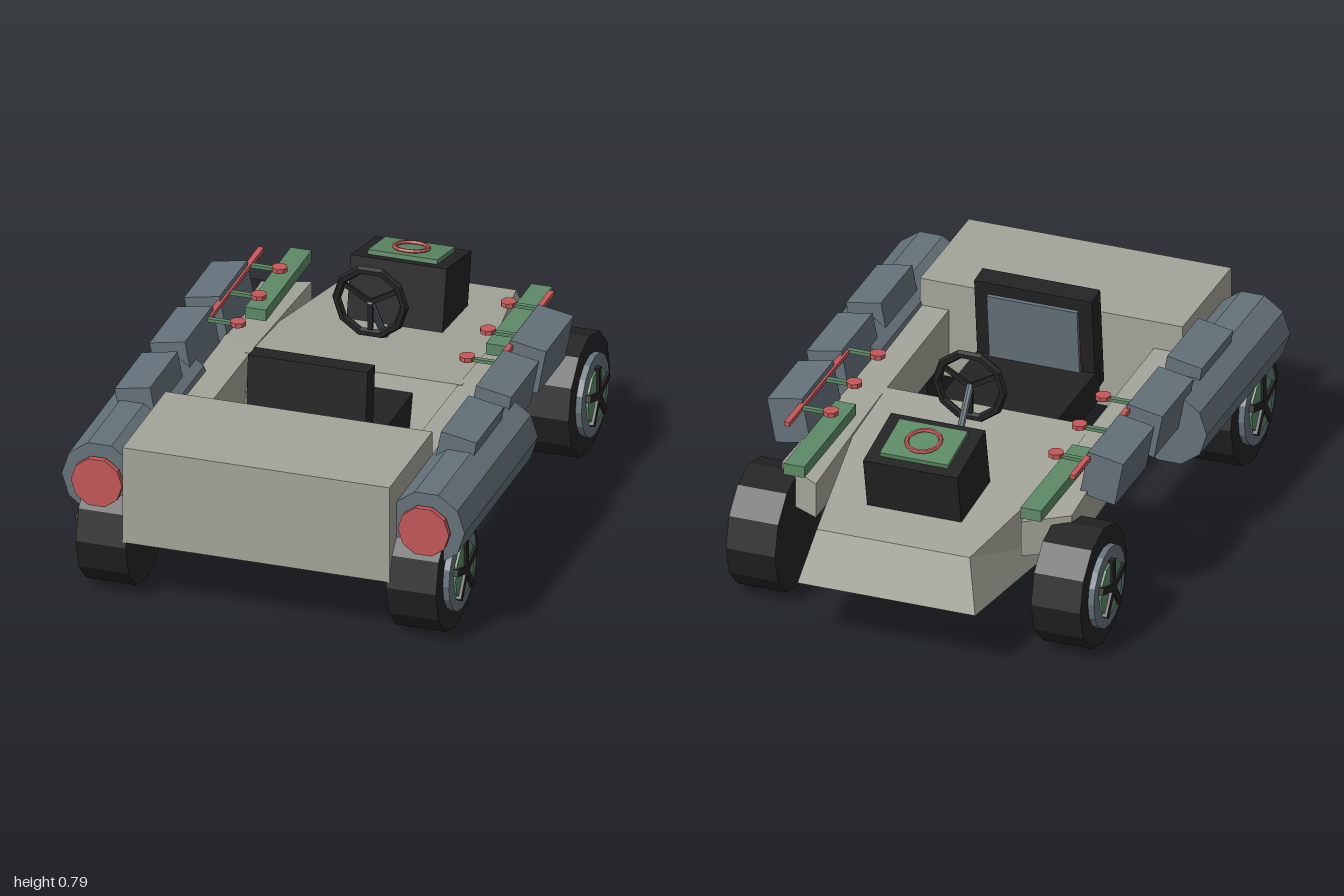
import * as THREE from 'three';

const mat = (name, color) => {
  const m = new THREE.MeshStandardMaterial({ color });
  m.name = name;
  return m;
};
const hullGrey = mat('warm grey', 0xa4a599);
const slate = mat('slate blue', 0x65727b);
const black = mat('black', 0x232323);
const red = mat('red', 0xc65858);
const green = mat('green', 0x5d8a66);

// Faceted normals for every part
function flat(geometry) {
  const g = geometry.index ? geometry.toNonIndexed() : geometry;
  g.computeVertexNormals();
  return g;
}

function add(parent, name, geometry, material, x = 0, y = 0, z = 0) {
  const mesh = new THREE.Mesh(flat(geometry), material);
  mesh.name = name;
  mesh.position.set(x, y, z);
  parent.add(mesh);
  return mesh;
}

const box = (w, h, d) => new THREE.BoxGeometry(w, h, d);

// Solid through four-cornered sections ordered along +z, corners anticlockwise seen from +z
function loft(sections) {
  const pos = [];
  const quad = (a, b, c, d) => pos.push(...a, ...b, ...c, ...a, ...c, ...d);
  for (let i = 0; i < sections.length - 1; i++) {
    const p = sections[i], q = sections[i + 1];
    for (let j = 0; j < 4; j++) {
      const k = (j + 1) % 4;
      quad(p[j], p[k], q[k], q[j]);
    }
  }
  const f = sections[0], l = sections[sections.length - 1];
  quad(f[3], f[2], f[1], f[0]);
  quad(l[0], l[1], l[2], l[3]);
  const g = new THREE.BufferGeometry();
  g.setAttribute('position', new THREE.Float32BufferAttribute(pos, 3));
  return g;
}

const mirrorSection = (s) => [1, 0, 3, 2].map((i) => [-s[i][0], s[i][1], s[i][2]]);

// Symmetric hull section: half width, height and depth of bottom and top edges
const hullSection = (bx, by, bz, tx, ty, tz) =>
  [[-bx, by, bz], [bx, by, bz], [tx, ty, tz], [-tx, ty, tz]];

function makeWheel(side) {
  const wheel = new THREE.Group();
  const disc = (name, r, x0, x1, m, n) => {
    const d = add(wheel, name, new THREE.CylinderGeometry(r, r, x1 - x0, n), m, side * (x0 + x1) / 2);
    d.rotation.z = Math.PI / 2;
  };
  disc('tyre', 0.22, -0.09, 0.09, black, 12);
  disc('rim', 0.148, 0.08, 0.112, slate, 16);
  disc('hubDisc', 0.1, 0.1, 0.12, green, 12);
  disc('hubCap', 0.022, 0.1, 0.13, black, 8);
  for (let i = 0; i < 5; i++) {
    const a = i * Math.PI * 2 / 5;
    const spoke = add(wheel, 'spoke', box(0.02, 0.105, 0.025), black,
      side * 0.12, Math.cos(a) * 0.055, Math.sin(a) * 0.055);
    spoke.rotation.x = a;
  }
  return wheel;
}

export function createModel() {
  const model = new THREE.Group();
  model.name = 'buggy';

  // Wedge hull and tall box at the other end
  add(model, 'hull', loft([
    hullSection(0.325, 0.228, -1, 0.28, 0.412, -0.935),
    hullSection(0.41, 0.228, -0.4, 0.38, 0.463, -0.33),
    hullSection(0.385, 0.228, 0.04, 0.39, 0.49, -0.035),
  ]), hullGrey);
  add(model, 'endBox', box(0.96, 0.36, 0.455), hullGrey, 0, 0.42, 0.7725);

  // Seat
  const seat = new THREE.Group();
  seat.name = 'seat';
  add(seat, 'cushion', box(0.435, 0.12, 0.46), black, 0, 0.38, 0.21);
  const back = new THREE.Group();
  back.name = 'backrest';
  back.position.set(0, 0.55, 0.43);
  back.rotation.x = -0.1;
  add(back, 'backShell', box(0.43, 0.37, 0.08), black);
  add(back, 'backPad', box(0.33, 0.25, 0.02), slate, 0, 0.015, -0.045);
  seat.add(back);
  model.add(seat);

  // Steering wheel with a slanted column
  const steering = new THREE.Group();
  steering.name = 'steering';
  steering.position.set(0, 0.66, -0.215);
  add(steering, 'steeringRim', new THREE.TorusGeometry(0.122, 0.016, 6, 10), black);
  for (let i = 0; i < 3; i++) {
    const a = Math.PI + i * Math.PI * 2 / 3;
    const spoke = add(steering, 'steeringSpoke', box(0.018, 0.12, 0.012), black,
      -Math.sin(a) * 0.06, Math.cos(a) * 0.06);
    spoke.rotation.z = a;
  }
  const column = add(steering, 'column', new THREE.CylinderGeometry(0.013, 0.013, 0.26, 8),
    slate, 0, -0.1, -0.075);
  column.rotation.x = Math.atan2(0.15, 0.2);
  model.add(steering);

  // Tilted instrument console
  const instruments = new THREE.Group();
  instruments.name = 'console';
  instruments.position.set(0, 0.645, -0.645);
  instruments.rotation.x = -0.2;
  add(instruments, 'consoleBox', box(0.345, 0.25, 0.268), black, 0, -0.125, 0);
  add(instruments, 'consolePanel', box(0.25, 0.018, 0.19), green, 0, 0.007, 0);
  const dial = add(instruments, 'dialRing', new THREE.TorusGeometry(0.059, 0.008, 6, 16), red, 0, 0.02, 0);
  dial.rotation.x = Math.PI / 2;
  model.add(instruments);

  const railSections = [
    [[0.375, 0.32, -0.7], [0.53, 0.32, -0.62], [0.53, 0.465, -0.62], [0.375, 0.45, -0.7]],
    [[0.375, 0.32, -0.1], [0.5, 0.32, -0.1], [0.5, 0.487, -0.1], [0.375, 0.487, -0.1]],
    [[0.375, 0.32, 0.74], [0.486, 0.32, 0.74], [0.486, 0.5, 0.74], [0.375, 0.5, 0.74]],
  ];

  // Everything paired left and right
  for (const s of [1, -1]) {
    const half = new THREE.Group();
    half.name = s > 0 ? 'leftSide' : 'rightSide';
    model.add(half);

    add(half, 'sideRail', loft(s > 0 ? railSections : railSections.map(mirrorSection)), hullGrey);

    for (const [name, z] of [['noseWheel', -0.624], ['tankWheel', 0.783]]) {
      const wheel = makeWheel(s);
      wheel.name = name;
      wheel.position.set(s * 0.558, 0.22, z);
      half.add(wheel);
    }

    // Long faceted tank with a red lamp on its end
    const tank = add(half, 'tank',
      new THREE.CylinderGeometry(0.137, 0.137, 0.78, 10, 1, false, Math.PI / 2), slate, s * 0.588, 0.43, 0.535);
    tank.rotation.x = Math.PI / 2;
    const lamp = add(half, 'lamp',
      new THREE.CylinderGeometry(0.092, 0.092, 0.022, 10, 1, false, Math.PI / 2), red, s * 0.588, 0.43, 0.949);
    lamp.rotation.x = Math.PI / 2;
    add(half, 'lampStem', box(0.05, 0.05, 0.03), slate, s * 0.588, 0.43, 0.93);

    // Row of tilted storage pods
    for (const z of [0.435, 0.065, -0.303]) {
      const pod = add(half, 'pod', box(0.13, 0.166, 0.293), slate, s * 0.572, 0.531, z);
      pod.rotation.z = -s * 0.185;
    }

    // Control bar, levers and buttons
    add(half, 'controlBar', box(0.02, 0.016, 0.56), red, s * 0.522, 0.6, -0.315);
    for (const z of [-0.465, -0.245, -0.025]) {
      add(half, 'lever', box(0.11, 0.012, 0.018), green, s * 0.465, 0.6, z);
      add(half, 'leverButton', new THREE.CylinderGeometry(0.028, 0.028, 0.016, 8), red, s * 0.412, 0.604, z);
    }
    add(half, 'greenBeam', box(0.075, 0.042, 0.485), green, s * 0.433, 0.518, -0.513);
  }

  return model;
}
